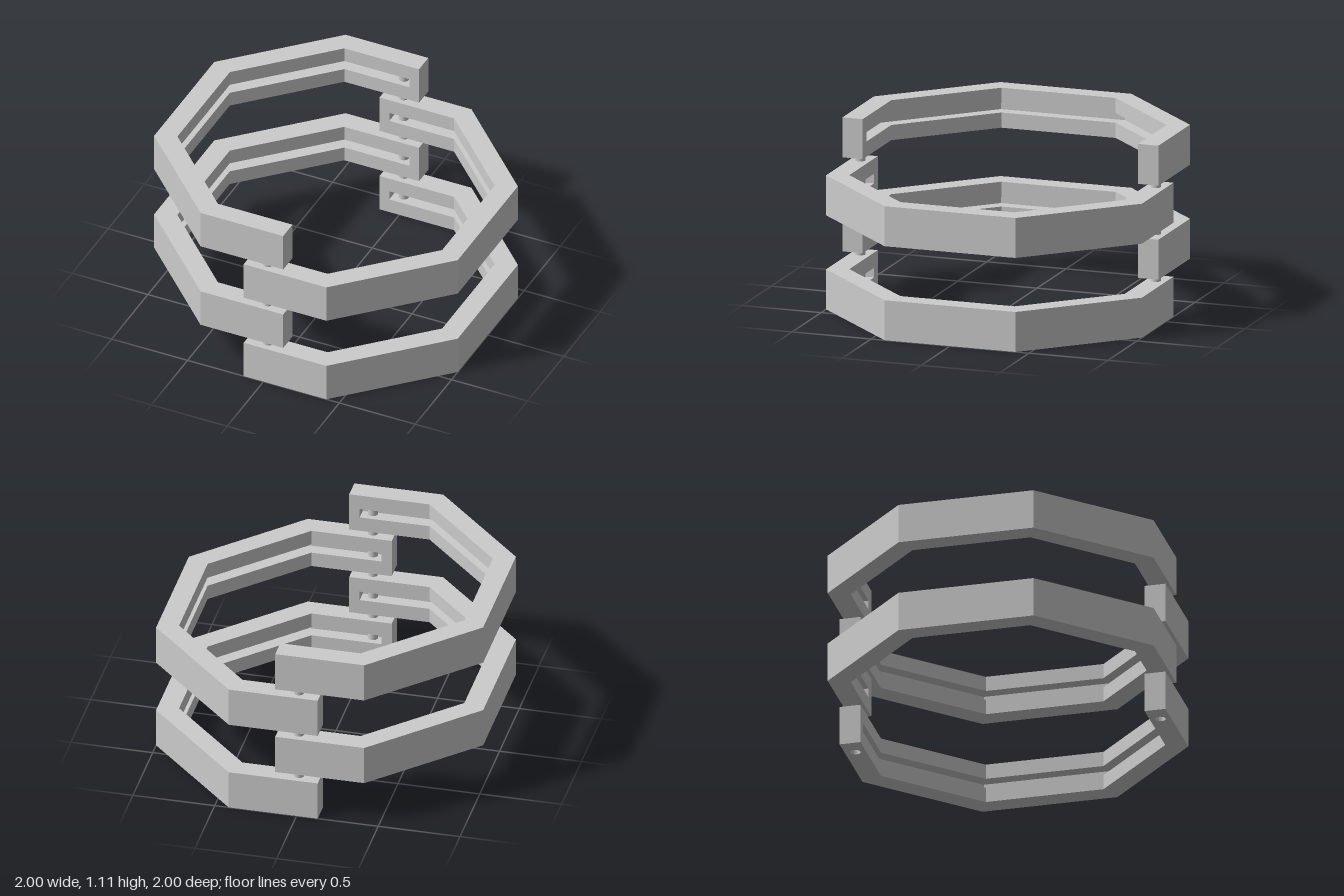
import * as THREE from 'three';

const OUTER = 1, INNER = 0.872, GROOVE = 0.95; // distances from axis to octagon flats
const END = -0.13, GROOVE_END = -0.066;        // where each half ring and its groove stop
const HEIGHT = 0.245, PITCH = 0.288, PLATE = 0.093;
const PIN_Z = 0.936, PIN_R = 0.031;
const material = new THREE.MeshStandardMaterial({ color: 0xcccccc, flatShading: true });
const pinMaterial = new THREE.MeshStandardMaterial({ color: 0xcccccc });

// Half an octagon, running from one open end round to the other
function halfOctagon(a, end) {
  const k = a * Math.tan(Math.PI / 8);
  return [[end, -a], [k, -a], [a, -k], [a, k], [k, a], [end, a]].map(([x, y]) => new THREE.Vector2(x, y));
}

function layer(name, inner, y, height, holes) {
  const shape = new THREE.Shape([...halfOctagon(OUTER, END), ...inner.reverse()]);
  if (holes) {
    for (const s of [-1, 1]) {
      shape.holes.push(new THREE.Path().absarc(0, s * PIN_Z, PIN_R, 0, Math.PI * 2, true));
    }
  }
  const geometry = new THREE.ExtrudeGeometry(shape, { depth: height, bevelEnabled: false, curveSegments: 12 });
  geometry.rotateX(-Math.PI / 2);
  const mesh = new THREE.Mesh(geometry, material);
  mesh.name = name;
  mesh.position.y = y;
  return mesh;
}

// Half ring with a groove along its inner wall and pin holes in its underside
function halfRing() {
  const ring = new THREE.Group();
  const wall = halfOctagon(INNER, END);
  const grooved = [wall[0], new THREE.Vector2(GROOVE_END, -INNER),
    ...halfOctagon(GROOVE, GROOVE_END),
    new THREE.Vector2(GROOVE_END, INNER), wall[5]];
  ring.add(
    layer('lowerRail', halfOctagon(INNER, END), 0, PLATE, true),
    layer('grooveBack', grooved, PLATE, HEIGHT - 2 * PLATE, false),
    layer('upperRail', halfOctagon(INNER, END), HEIGHT - PLATE, PLATE, false)
  );
  return ring;
}

export function createModel() {
  const model = new THREE.Group();
  model.name = 'stackedHalfRings';

  // Four half rings, alternately facing left and right
  for (let i = 0; i < 4; i++) {
    const ring = halfRing();
    ring.name = 'halfRing' + (i + 1);
    ring.position.y = i * PITCH;
    ring.rotation.y = i % 2 ? Math.PI : 0;
    model.add(ring);
  }

  // Pins joining the overlapping ends, front and back
  const bottom = PLATE, top = 3 * PITCH + HEIGHT - PLATE;
  for (const s of [-1, 1]) {
    const pin = new THREE.Mesh(new THREE.CylinderGeometry(PIN_R, PIN_R, top - bottom, 24), pinMaterial);
    pin.name = s > 0 ? 'frontPin' : 'backPin';
    pin.position.set(0, (top + bottom) / 2, s * PIN_Z);
    model.add(pin);
  }
  return model;
}
